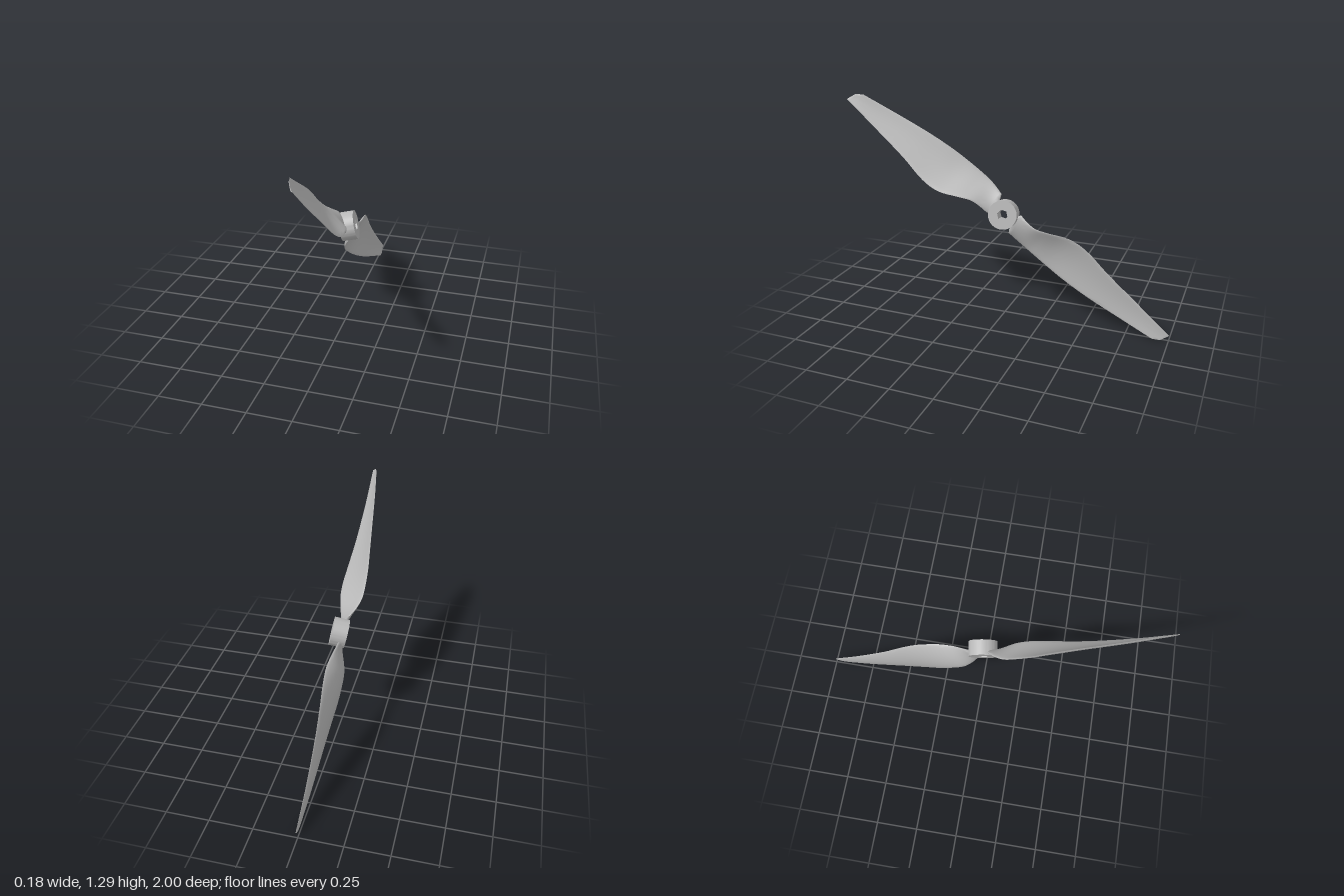
import * as THREE from 'three';
import { toCreasedNormals } from 'three/addons/utils/BufferGeometryUtils.js';

const CENTER = new THREE.Vector3(0.02, 0.647, 0);
const AXIS = new THREE.Vector3(1, 0.23, -0.155).normalize();
const SPAN = new THREE.Vector3(0, 0.541, 0.841);
const ACROSS = new THREE.Vector3(0, 0.841, -0.541);

// Blade stations: radius, upper edge (across, x), lower edge (across, x), thickness
const STATIONS = [
  [0.070, 0.036, -0.018, -0.036, 0.018, 0.026],
  [0.085, 0.067, -0.035, -0.056, 0.030, 0.026],
  [0.140, 0.070, -0.065, -0.044, 0.045, 0.024],
  [0.200, 0.073, -0.085, -0.041, 0.060, 0.022],
  [0.270, 0.077, -0.090, -0.064, 0.077, 0.020],
  [0.390, 0.083, -0.087, -0.112, 0.090, 0.018],
  [0.510, 0.087, -0.075, -0.120, 0.083, 0.017],
  [0.680, 0.082, -0.056, -0.092, 0.063, 0.014],
  [0.930, 0.061, -0.026, -0.060, 0.047, 0.010],
  [1.110, 0.045, 0.000, -0.035, 0.041, 0.007],
  [1.150, 0.023, 0.012, -0.030, 0.040, 0.005],
  [1.171, -0.020, 0.032, -0.028, 0.040, 0.003],
];

// Smooth value of one station column at fractional index f
function sample(column, f) {
  const last = STATIONS.length - 1;
  const i = Math.min(Math.floor(f), last - 1);
  const t = f - i;
  const v = (k) => STATIONS[THREE.MathUtils.clamp(k, 0, last)][column];
  // Straight segments at the cut root and the tip, smooth in between
  if (i === 0 || i >= last - 2) return THREE.MathUtils.lerp(v(i), v(i + 1), t);
  const h = (k) => (k <= 1 ? v(2) - v(1) : k >= last - 2 ? v(k) - v(k - 1) : slope(column, k));
  const gap = STATIONS[i + 1][0] - STATIONS[i][0];
  const m0 = i <= 1 ? h(i) : h(i) * gap;
  const m1 = i + 1 >= last - 2 ? h(i + 1) : h(i + 1) * gap;
  const t2 = t * t, t3 = t2 * t;
  return (2 * t3 - 3 * t2 + 1) * v(i) + (t3 - 2 * t2 + t) * m0
    + (3 * t2 - 2 * t3) * v(i + 1) + (t3 - t2) * m1;
}

// Rate of change of a column per unit of radius
function slope(column, k) {
  const a = STATIONS[k - 1], b = STATIONS[k + 1];
  return (b[column] - a[column]) / (b[0] - a[0]);
}

// Twisted, cambered blade lofted through closed sections
function bladeGeometry() {
  const sides = 28, steps = 4;
  const rings = (STATIONS.length - 1) * steps + 1;
  const pos = [], index = [];
  const point = (r, w, x) => {
    const p = new THREE.Vector3().addScaledVector(SPAN, r).addScaledVector(ACROSS, w);
    p.x += x - CENTER.x;
    pos.push(p.x, p.y, p.z);
  };
  const ends = [];
  for (let i = 0; i < rings; i++) {
    const [r, uw, ux, lw, lx, thick] = [0, 1, 2, 3, 4, 5].map((c) => sample(c, i / steps));
    const dw = lw - uw, dx = lx - ux;
    const chord = Math.hypot(dw, dx);
    const camber = Math.min(1, r / 0.25) * 0.06 * chord;
    for (let j = 0; j < sides; j++) {
      const a = (j / sides) * Math.PI * 2;
      const t = (1 - Math.cos(a)) / 2;
      const off = camber * 4 * t * (1 - t) + (thick / 2) * Math.sin(a);
      point(r, uw + dw * t - (dx / chord) * off, ux + dx * t + (dw / chord) * off);
    }
    if (i === 0 || i === rings - 1) ends.push([r, (uw + lw) / 2, (ux + lx) / 2]);
  }
  for (let i = 0; i < rings - 1; i++) {
    for (let j = 0; j < sides; j++) {
      const k = (j + 1) % sides;
      const a = i * sides + j, b = i * sides + k;
      index.push(a, b, a + sides, b, b + sides, a + sides);
    }
  }
  // Root and tip caps
  const root = rings * sides, tip = root + 1, lastRing = (rings - 1) * sides;
  ends.forEach((e) => point(...e));
  for (let j = 0; j < sides; j++) {
    const k = (j + 1) % sides;
    index.push(root, k, j, tip, lastRing + j, lastRing + k);
  }
  const geo = new THREE.BufferGeometry();
  geo.setAttribute('position', new THREE.Float32BufferAttribute(pos, 3));
  geo.setIndex(index);
  return toCreasedNormals(geo, 0.9);
}

// Round hub with a hexagonal bore
function hubGeometry() {
  const length = 0.09;
  const shape = new THREE.Shape().absarc(0, 0, 0.085, 0, Math.PI * 2, false);
  const bore = [];
  for (let i = 0; i < 6; i++) {
    const a = (-i * Math.PI) / 3;
    bore.push(new THREE.Vector2(Math.cos(a) * 0.032, Math.sin(a) * 0.032));
  }
  shape.holes.push(new THREE.Path(bore));
  const geo = new THREE.ExtrudeGeometry(shape, { depth: length, bevelEnabled: false, curveSegments: 32 });
  geo.translate(0, 0, -length / 2);
  return toCreasedNormals(geo, 0.6);
}

export function createModel() {
  const grey = new THREE.MeshStandardMaterial({ color: 0xb8b8b8 });
  grey.name = 'light grey';
  const model = new THREE.Group();
  model.name = 'propeller';

  const hub = new THREE.Mesh(hubGeometry(), grey);
  hub.name = 'hub';
  hub.position.copy(CENTER);
  hub.quaternion.setFromUnitVectors(new THREE.Vector3(0, 0, 1), AXIS);
  model.add(hub);

  // Two blades, half a turn apart about the hub axis
  const blade = bladeGeometry();
  ['upperBlade', 'lowerBlade'].forEach((name, i) => {
    const mesh = new THREE.Mesh(blade, grey);
    mesh.name = name;
    mesh.position.copy(CENTER);
    mesh.quaternion.setFromAxisAngle(AXIS, i * Math.PI);
    model.add(mesh);
  });
  return model;
}
